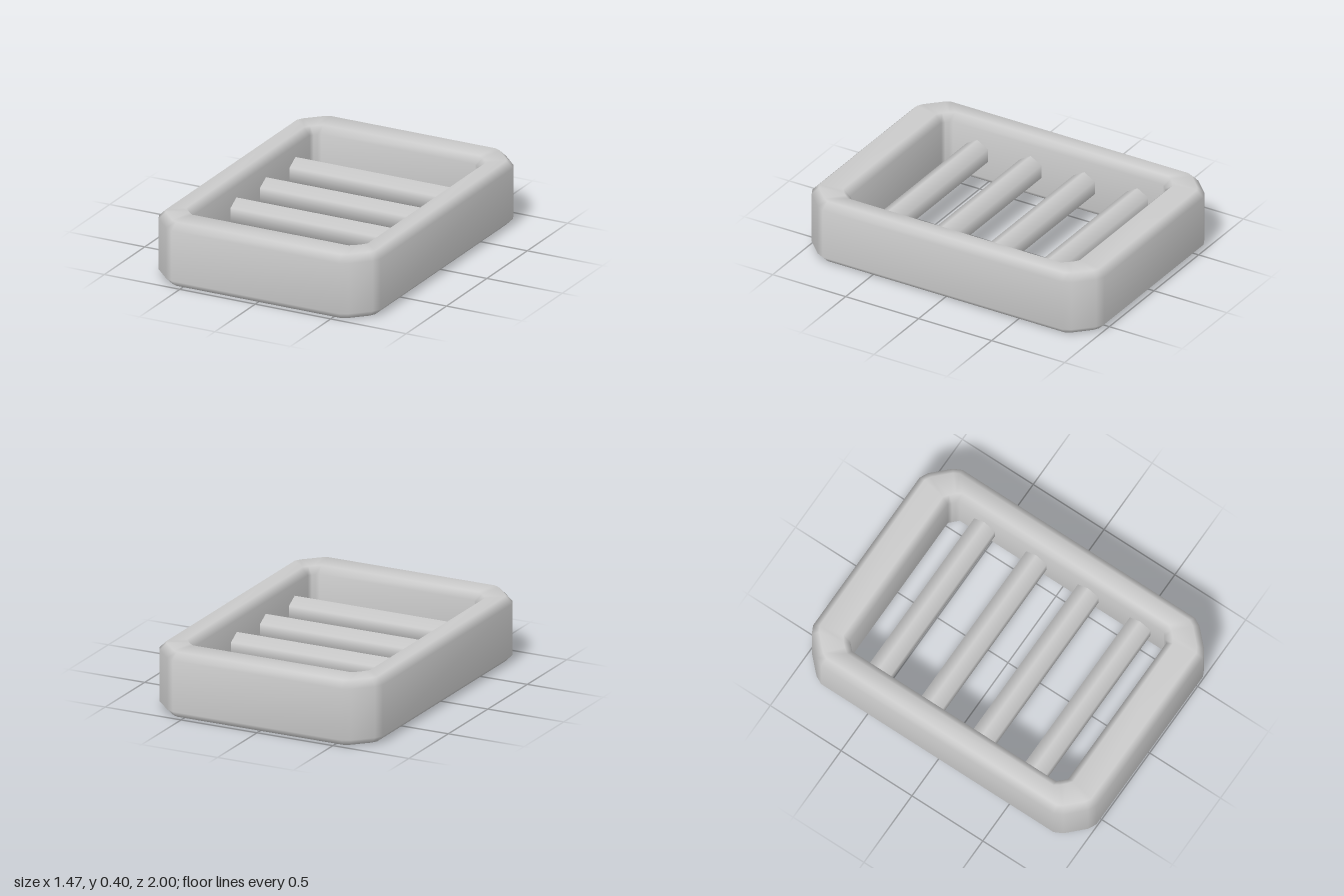
import * as THREE from 'three';

const MAT = new THREE.MeshStandardMaterial({ color: 0xcccccc });
const H = 0.4, BEVEL = 0.042;

// One quarter of each outline as [x, z], plus the direction of its bevel inset
const OUTER = [[0.735, 0.82], [0.71, 0.87], [0.605, 0.975], [0.555, 1.0]];
const INNER = [[0.56, 0.72], [0.543, 0.737], [0.527, 0.753], [0.51, 0.77]];
const ANGLES = [11, 34, 56, 79].map((a) => THREE.MathUtils.degToRad(a));

// Mirrors a quarter into a closed loop at height y, moved outwards by offset
function loop(quarter, offset, y) {
  const pts = quarter.map(([x, z], i) => [
    x + offset * Math.cos(ANGLES[i]), z + offset * Math.sin(ANGLES[i])]);
  const rev = [...pts].reverse();
  return [[1, 1, pts], [-1, 1, rev], [-1, -1, pts], [1, -1, rev]]
    .flatMap(([sx, sz, list]) => list.map(([x, z]) => [x * sx, y, z * sz]));
}

// Skins the loops into a closed ring with smooth, area-weighted normals
function ringGeometry(loops) {
  const n = loops[0].length, m = loops.length, index = [];
  for (let i = 0; i < m; i++) {
    for (let j = 0; j < n; j++) {
      const i2 = (i + 1) % m, j2 = (j + 1) % n;
      const a = i * n + j, b = i2 * n + j, c = i2 * n + j2, d = i * n + j2;
      index.push(a, b, d, b, c, d);
    }
  }
  const g = new THREE.BufferGeometry();
  g.setAttribute('position', new THREE.Float32BufferAttribute(loops.flat(2), 3));
  g.setIndex(index);
  g.computeVertexNormals();
  return g;
}

export function createModel() {
  const model = new THREE.Group();
  model.name = 'slideBuckle';

  // Bevelled frame: outside wall upwards, across the top, down the opening
  const frame = new THREE.Mesh(ringGeometry([
    loop(OUTER, -BEVEL, 0),
    loop(OUTER, 0, BEVEL),
    loop(OUTER, 0, H - BEVEL),
    loop(OUTER, -BEVEL, H),
    loop(INNER, BEVEL, H),
    loop(INNER, 0, H - BEVEL),
    loop(INNER, 0, BEVEL),
    loop(INNER, BEVEL, 0),
  ]), MAT);
  frame.name = 'frame';
  model.add(frame);

  // Four six-sided crossbars, set into the side walls
  const barGeo = new THREE.CylinderGeometry(0.084, 0.084, 1.14, 6, 1, false, Math.PI / 6);
  barGeo.rotateZ(Math.PI / 2);
  for (let i = 0; i < 4; i++) {
    const bar = new THREE.Mesh(barGeo, MAT);
    bar.name = `crossbar${i + 1}`;
    bar.position.set(0, H / 2, -0.545 + i * 0.366);
    model.add(bar);
  }
  return model;
}
